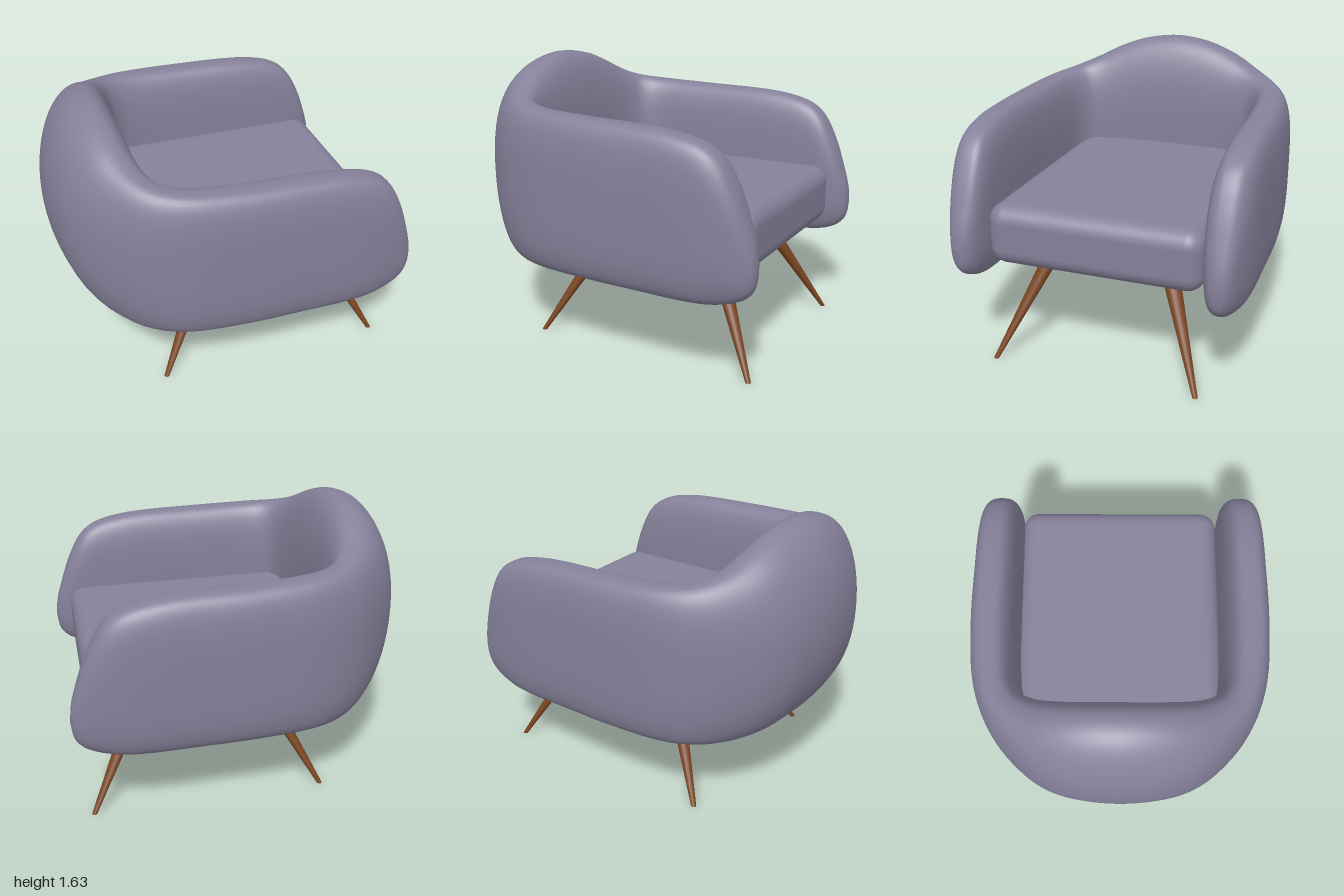
import * as THREE from 'three';
import { RoundedBoxGeometry } from 'three/addons/geometries/RoundedBoxGeometry.js';

const fabric = new THREE.MeshStandardMaterial({ color: 0x85819a });
const wood = new THREE.MeshStandardMaterial({ color: 0x7a4520 });

// Stations of one half of the wrap-around shell, from the middle of the back to an arm tip:
// outer x, outer z, inner x, inner z, bottom, top, ridge position (0 inner..1 outer), outer and inner roundness
const STATIONS = [
  [-1.0, 0, -0.51, 0, 0.48, 1.635, 0.39, 2, 2.5],
  [-0.98, 0.22, -0.505, 0.2, 0.48, 1.61, 0.39, 2, 2.5],
  [-0.92, 0.41, -0.49, 0.36, 0.48, 1.55, 0.41, 2.1, 2.6],
  [-0.8, 0.58, -0.465, 0.47, 0.48, 1.48, 0.43, 2.3, 2.7],
  [-0.6, 0.75, -0.42, 0.54, 0.48, 1.425, 0.46, 2.7, 2.8],
  [-0.35, 0.84, -0.3, 0.585, 0.48, 1.4, 0.48, 3.2, 2.9],
  [0, 0.87, 0, 0.605, 0.48, 1.385, 0.48, 3.5, 3],
  [0.35, 0.87, 0.35, 0.61, 0.477, 1.375, 0.48, 3.5, 3],
  [0.55, 0.868, 0.55, 0.612, 0.475, 1.355, 0.48, 3.5, 3],
  [0.7, 0.86, 0.7, 0.615, 0.478, 1.315, 0.48, 3.3, 3],
  [0.8, 0.845, 0.8, 0.62, 0.49, 1.24, 0.48, 3, 3],
  [0.88, 0.825, 0.88, 0.632, 0.512, 1.1, 0.48, 2.8, 2.8],
  [0.94, 0.803, 0.94, 0.652, 0.545, 0.94, 0.49, 2.5, 2.5],
  [0.98, 0.775, 0.98, 0.685, 0.6, 0.81, 0.5, 2.2, 2.2],
  [0.995, 0.735, 0.995, 0.735, 0.7, 0.7, 0.5, 2, 2],
];

function shellGeometry(along = 168, around = 56) {
  const mirrored = STATIONS.slice(1).reverse().map((s) => s.map((v, k) => (k === 1 || k === 3 ? -v : v)));
  const all = [...mirrored, ...STATIONS];
  const curve = (a, b, c) => new THREE.CatmullRomCurve3(
    all.map((s) => new THREE.Vector3(s[a], s[b], s[c])), false, 'catmullrom', 0.5);
  const outer = curve(0, 5, 1), inner = curve(2, 4, 3), form = curve(6, 7, 8);
  const power = (v, n) => Math.sign(v) * Math.pow(Math.abs(v), 2 / n);
  const positions = [], index = [];
  for (let i = 0; i <= along; i++) {
    const o = outer.getPoint(i / along), p = inner.getPoint(i / along), f = form.getPoint(i / along);
    const mid = (o.y + p.y) / 2, half = (o.y - p.y) / 2;
    for (let j = 0; j < around; j++) {
      const a = (j / around) * Math.PI * 2, c = Math.cos(a);
      const n = c > 0 ? f.y : f.z;
      const u = f.x + power(c, n) * (c > 0 ? 1 - f.x : f.x);
      positions.push(p.x + (o.x - p.x) * u, mid + half * power(Math.sin(a), n), p.z + (o.z - p.z) * u);
      if (i < along) {
        const j2 = (j + 1) % around, r = i * around, s = r + around;
        index.push(r + j, s + j, r + j2, r + j2, s + j, s + j2);
      }
    }
  }
  const g = new THREE.BufferGeometry();
  g.setAttribute('position', new THREE.Float32BufferAttribute(positions, 3));
  g.setIndex(index);
  g.computeVertexNormals();
  return g;
}

// Tapered leg leaning from its foot to its top, with level ends
function legGeometry(foot, top) {
  const h = top.y - foot.y;
  const g = new THREE.CylinderGeometry(0.055, 0.015, h, 24);
  g.translate(0, h / 2, 0);
  const lean = new THREE.Matrix4().set(
    1, (top.x - foot.x) / h, 0, foot.x,
    0, 1, 0, foot.y,
    0, (top.z - foot.z) / h, 1, foot.z,
    0, 0, 0, 1);
  return g.applyMatrix4(lean);
}

export function createModel() {
  const group = new THREE.Group();
  const add = (name, geometry, material) => {
    const mesh = new THREE.Mesh(geometry, material);
    mesh.name = name;
    group.add(mesh);
    return mesh;
  };

  // Back and arms in one padded shell
  add('backAndArms', shellGeometry(), fabric);

  // Thick seat cushion
  add('seatCushion', new RoundedBoxGeometry(1.5, 0.355, 1.24, 5, 0.1), fabric).position.set(0.15, 0.772, -0.007);

  // Four splayed legs
  for (const [end, footX, topX] of [['front', 0.9, 0.57], ['back', -0.46, -0.13]]) {
    for (const side of [1, -1]) {
      const foot = new THREE.Vector3(footX, 0, side * 0.6 - 0.01);
      const top = new THREE.Vector3(topX, 0.61, side * 0.34 - 0.01);
      add(end + (side > 0 ? 'LegPlusZ' : 'LegMinusZ'), legGeometry(foot, top), wood);
    }
  }
  return group;
}
